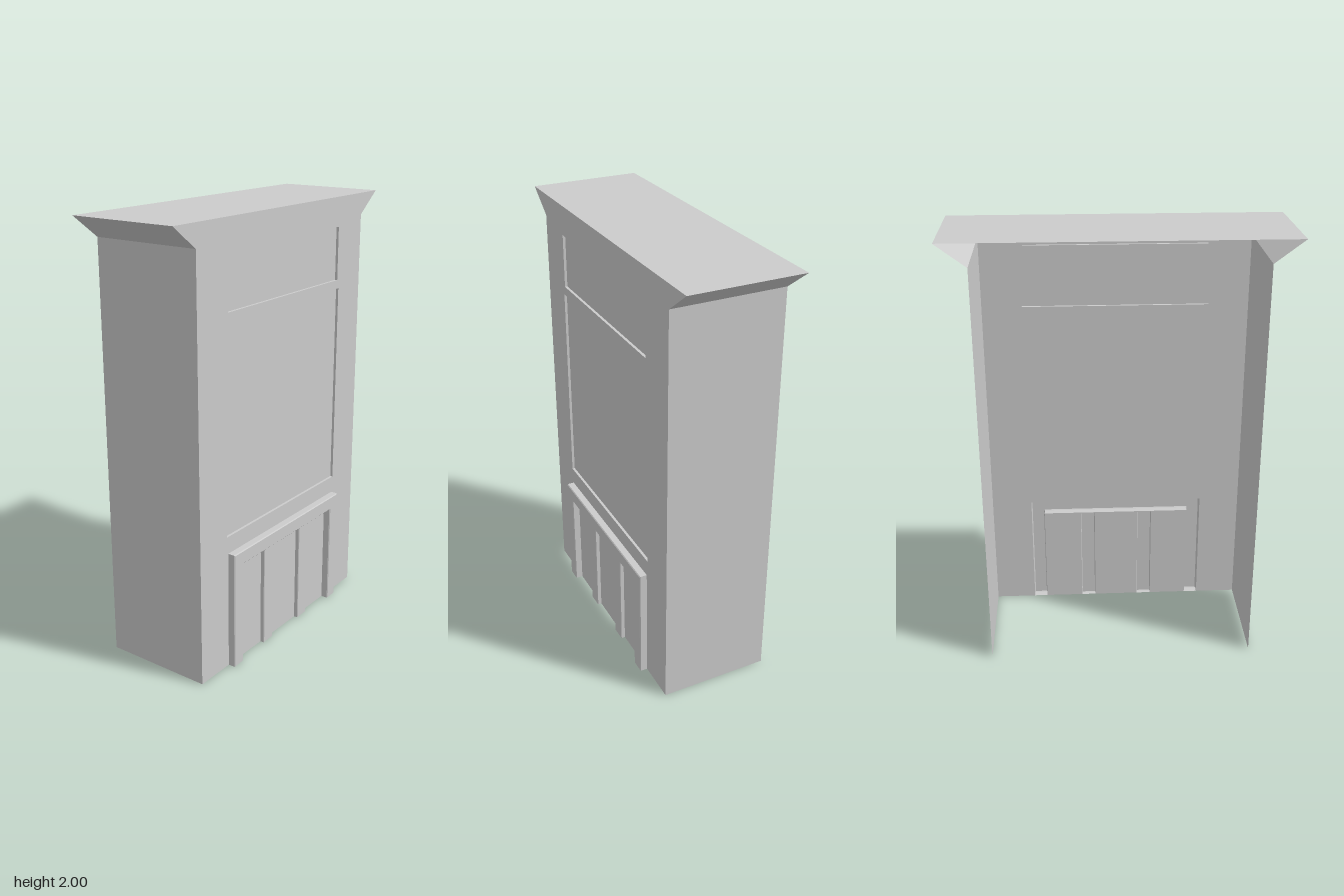
import * as THREE from 'three';

const material = new THREE.MeshStandardMaterial({ color: 0xcccccc, side: THREE.DoubleSide });

// Outlines are counter-clockwise [u, y] points as seen facing the facade.
const rect = (u0, y0, u1, y1, inset = 0) => [
  [u0 + inset, y0 + inset], [u1 - inset, y0 + inset],
  [u1 - inset, y1 - inset], [u0 + inset, y1 - inset],
];

// U-shaped doorway surround
const surround = (i = 0) => [
  [-0.425 + i, i], [-0.36 - i, i], [-0.36 - i, 0.49 + i], [0.36 + i, 0.49 + i],
  [0.36 + i, i], [0.425 - i, i], [0.425 - i, 0.555 - i], [-0.425 + i, 0.555 - i],
];

const toShape = (pts) => new THREE.Shape(pts.map(([u, y]) => new THREE.Vector2(u, y)));

// Flat sheet with optional holes
function sheet(name, pts, depth = 0, holes = []) {
  const shape = toShape(pts);
  holes.forEach((h) => shape.holes.push(toShape(h)));
  const mesh = new THREE.Mesh(new THREE.ShapeGeometry(shape), material);
  mesh.position.z = depth;
  mesh.name = name;
  return mesh;
}

// Faceted wall joining an outline at one depth to another outline at a second depth
function wall(name, from, d0, to, d1, closed = true) {
  const pos = [];
  const n = from.length;
  for (let i = 0; i < (closed ? n : n - 1); i++) {
    const j = (i + 1) % n;
    const a = [...from[i], d0], b = [...from[j], d0];
    const c = [...to[j], d1], d = [...to[i], d1];
    pos.push(...a, ...b, ...c, ...a, ...c, ...d);
  }
  const geo = new THREE.BufferGeometry();
  geo.setAttribute('position', new THREE.Float32BufferAttribute(pos, 3));
  geo.computeVertexNormals();
  const mesh = new THREE.Mesh(geo, material);
  mesh.name = name;
  return mesh;
}

// Hollow relief: side walls, small bevel and face; negative depth makes a recess
function relief(name, outline, depth, bevel = 0) {
  const g = new THREE.Group();
  g.name = name;
  const outer = outline(0), inner = outline(bevel);
  g.add(wall(name + 'Sides', outer, 0, outer, depth - bevel));
  if (bevel) g.add(wall(name + 'Bevel', outer, depth - bevel, inner, depth));
  g.add(sheet(name + 'Face', inner, depth));
  return g;
}

export function createModel() {
  const model = new THREE.Group();
  model.name = 'buildingFront';

  // Everything is drawn facing +z, then turned to face +x
  const body = new THREE.Group();
  body.name = 'body';
  body.rotation.y = Math.PI / 2;
  body.position.x = 0.235;
  model.add(body);

  // Side walls, flared cornice and roof, open at the back and below
  const W = 0.617;
  const section = [[W, 0], [W, 1.9], [0.75, 2], [-0.75, 2], [-W, 1.9], [-W, 0]];
  body.add(wall('wallsAndRoof', section, -0.51, section, 0, false));

  // Facade sheet, notched for the doorway and pierced for the panels
  const signPanel = rect(-0.42, 1.62, 0.42, 1.865);
  const windowPanel = rect(-0.432, 0.635, 0.432, 1.58);
  body.add(sheet('facade', [
    ...section, [-0.425, 0], [-0.425, 0.555], [0.425, 0.555], [0.425, 0],
  ], 0, [signPanel, windowPanel]));
  body.add(relief('signPanel', () => signPanel, -0.012));
  body.add(relief('windowPanel', () => windowPanel, -0.012));

  // Doorway surround
  body.add(relief('doorSurround', surround, 0.035, 0.004));

  // Door wall with two pilasters
  const pilasters = [[-0.179, -0.109], [0.107, 0.177]];
  const doorWall = [[-0.36, 0]];
  for (const [a, b] of pilasters) {
    doorWall.push([a, 0], [a, 0.485], [b, 0.485], [b, 0]);
    body.add(relief('pilaster', (i) => rect(a, 0, b, 0.485, i), 0.02, 0.003));
  }
  doorWall.push([0.36, 0], [0.36, 0.49], [-0.36, 0.49]);
  body.add(sheet('doorWall', doorWall));

  return model;
}
